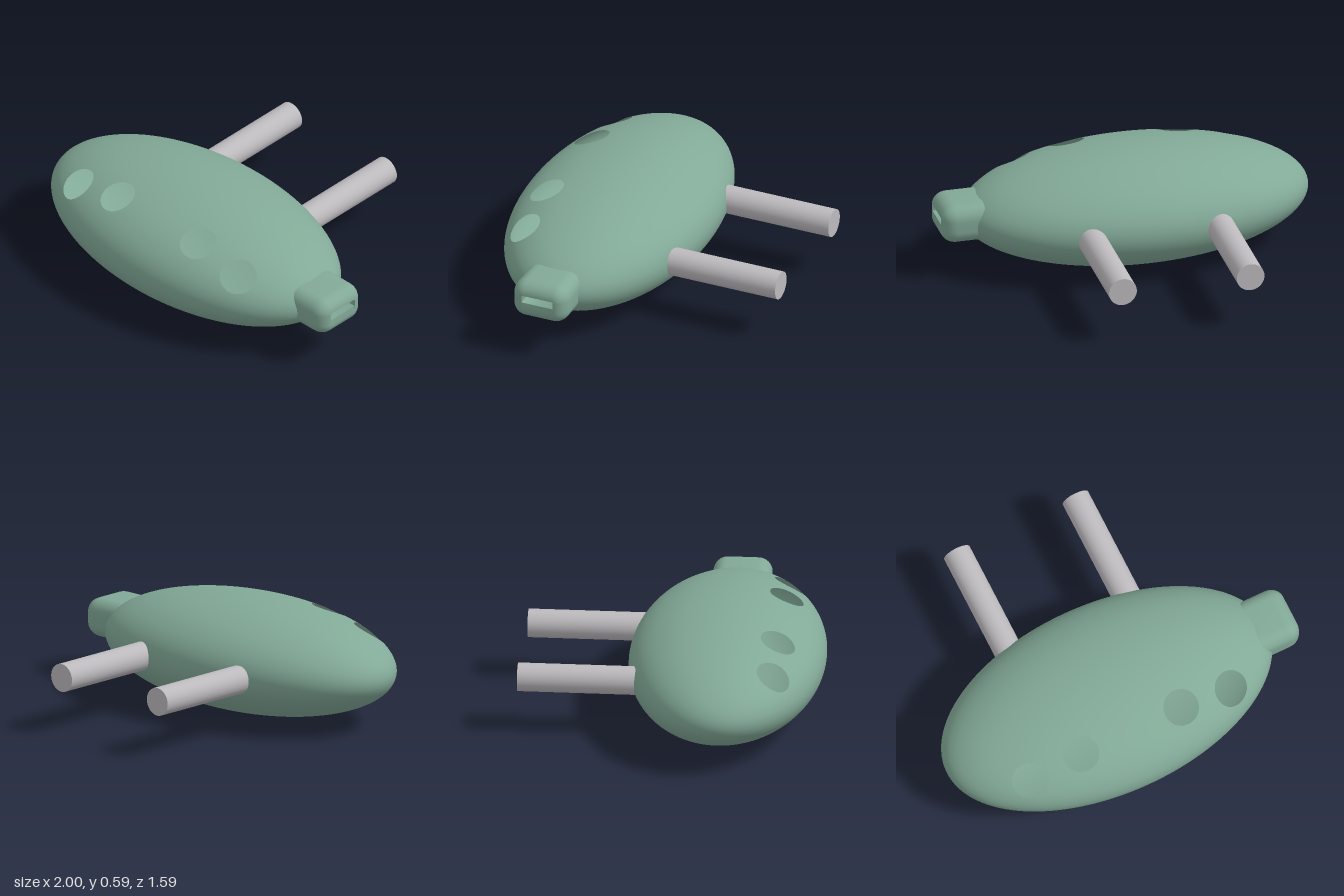
import * as THREE from 'three';
import { toCreasedNormals } from 'three/addons/utils/BufferGeometryUtils.js';

const CENTRE = new THREE.Vector3(-0.07, 0.294, 0.275);
const RADII = new THREE.Vector3(0.93, 0.294, 0.515);
const HOLE_RADIUS = 0.097;

// Slide a point radially onto the ellipsoid
const toSurface = (p) => p.multiplyScalar(1 / p.clone().divide(RADII).length());

// Hollow ellipsoid with round openings; rim vertices are pushed onto the hole edge
function shellGeometry(holes) {
  const geo = new THREE.SphereGeometry(1, 180, 110);
  geo.scale(RADII.x, RADII.y, RADII.z);
  const pos = geo.attributes.position;
  const nor = geo.attributes.normal;
  const p = new THREE.Vector3();
  const inside = [];
  for (let i = 0; i < pos.count; i++) {
    p.fromBufferAttribute(pos, i);
    const hole = holes.find((h) => h.distanceTo(p) < HOLE_RADIUS);
    inside.push(Boolean(hole));
    if (hole) {
      for (let n = 0; n < 8; n++) {
        p.sub(hole).setLength(HOLE_RADIUS).add(hole);
        toSurface(p);
      }
      pos.setXYZ(i, p.x, p.y, p.z);
    }
    p.divide(RADII).divide(RADII).normalize();
    nor.setXYZ(i, p.x, p.y, p.z);
  }
  const old = geo.index.array;
  const kept = [];
  for (let i = 0; i < old.length; i += 3) {
    const [a, b, c] = [old[i], old[i + 1], old[i + 2]];
    if (!(inside[a] && inside[b] && inside[c])) kept.push(a, b, c);
  }
  geo.setIndex(kept);
  return geo;
}

// Loft of rounded rectangles along x; each section is [x, centreY, halfY, halfZ, cornerRadius]
function loftGeometry(sections) {
  const steps = 8;
  const ring = 4 * (steps + 1);
  const points = [];
  const index = [];
  sections.forEach(([x, cy, hy, hz, r], s) => {
    for (let k = 0; k < 4; k++) {
      const sy = k === 0 || k === 3 ? 1 : -1;
      const sz = k < 2 ? 1 : -1;
      for (let i = 0; i <= steps; i++) {
        const t = (k + i / steps) * Math.PI / 2;
        points.push(x, cy + sy * (hy - r) + r * Math.cos(t), sz * (hz - r) + r * Math.sin(t));
      }
    }
    if (s === 0) return;
    for (let j = 0; j < ring; j++) {
      const a = (s - 1) * ring + j;
      const b = (s - 1) * ring + (j + 1) % ring;
      index.push(a, b, a + ring, b, b + ring, a + ring);
    }
  });
  const geo = new THREE.BufferGeometry();
  geo.setAttribute('position', new THREE.Float32BufferAttribute(points, 3));
  geo.setIndex(index);
  return toCreasedNormals(geo, 0.7);
}

export function createModel() {
  const green = new THREE.MeshStandardMaterial({ color: 0x82a997, side: THREE.DoubleSide });
  green.name = 'sage green';
  const grey = new THREE.MeshStandardMaterial({ color: 0xbdbabd });
  grey.name = 'light grey';

  const model = new THREE.Group();
  model.name = 'model';
  const add = (name, geo, material, x, y, z) => {
    const mesh = new THREE.Mesh(geo, material);
    mesh.name = name;
    mesh.position.set(x, y, z);
    model.add(mesh);
    return mesh;
  };

  // Body with two pairs of finger holes
  const holes = [-0.585, -0.293, 0.293, 0.585].map((x) => {
    const z = 0.288;
    const y = RADII.y * Math.sqrt(1 - (x / RADII.x) ** 2 - (z / RADII.z) ** 2);
    return new THREE.Vector3(x, y, z);
  });
  add('body', shellGeometry(holes), green, CENTRE.x, CENTRE.y, CENTRE.z);

  // Mouthpiece with rounded outer end and a slot
  const sections = [[0.77, 0.31, 0.104, 0.155, 0.075], [0.92, 0.31, 0.104, 0.155, 0.075]];
  for (let i = 1; i <= 8; i++) {
    const t = (i / 8) * Math.PI / 2;
    const inset = 0.065 * (1 - Math.cos(t));
    sections.push([0.92 + 0.078 * Math.sin(t), 0.31, 0.104 - inset, 0.155 - inset, 0.075 - inset]);
  }
  sections.push([0.995, 0.333, 0.012 + 0.015, 0.088, 0.004]);
  sections.push([0.86, 0.333, 0.027, 0.088, 0.004]);
  add('mouthpiece', loftGeometry(sections), green, 0, 0, CENTRE.z);

  // Two rear tubes
  [[-0.415, 'rightTube'], [0.275, 'leftTube']].forEach(([x, name]) => {
    const tube = new THREE.CylinderGeometry(0.075, 0.075, 0.62, 48);
    tube.rotateX(Math.PI / 2);
    add(name, tube, grey, x, 0.295, -0.488);
  });

  return model;
}
